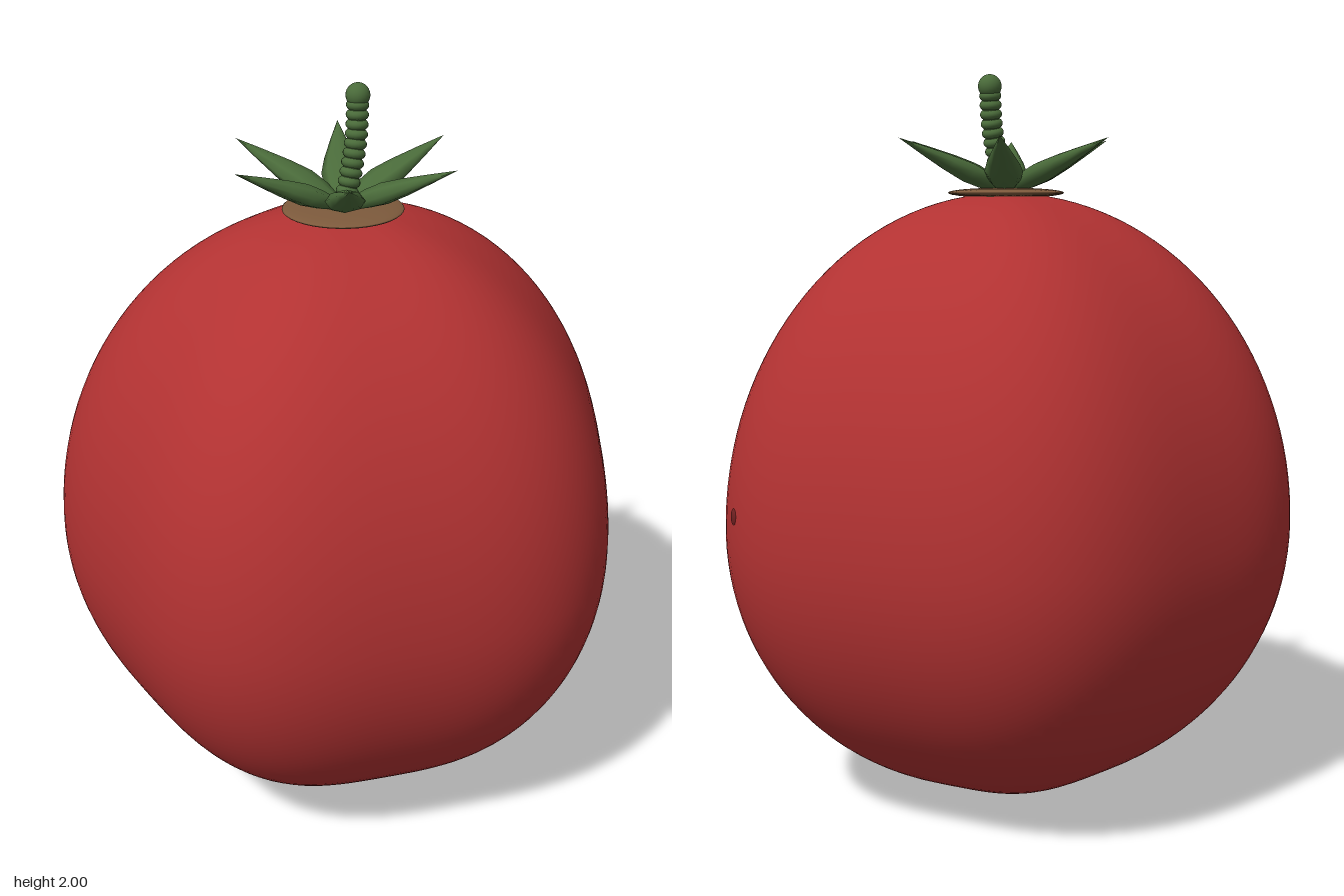
import * as THREE from 'three';
import { mergeVertices } from 'three/addons/utils/BufferGeometryUtils.js';

const AXIS_X = -0.03; // fruit axis, so that the lobed body is centred

function material(name, color) {
  const m = new THREE.MeshStandardMaterial({ color });
  m.name = name;
  return m;
}

function addMesh(parent, name, geometry, mat, x = 0, y = 0, z = 0) {
  const mesh = new THREE.Mesh(geometry, mat);
  mesh.name = name;
  mesh.position.set(x, y, z);
  parent.add(mesh);
  return mesh;
}

// Egg-shaped lathe with five soft lobes
function bodyGeometry() {
  const points = [];
  const steps = 64;
  for (let i = 0; i <= steps; i++) {
    const a = -Math.PI / 2 + (Math.PI * i) / steps;
    const half = a < 0 ? 0.77 : 0.905;
    points.push(new THREE.Vector2(0.7725 * Math.cos(a), 0.78 + half * Math.sin(a)));
  }
  let geo = new THREE.LatheGeometry(points, 120);
  const pos = geo.attributes.position;
  for (let i = 0; i < pos.count; i++) {
    const x = pos.getX(i), z = pos.getZ(i);
    const k = 1 + 0.036 * Math.cos(5 * Math.atan2(z, x));
    pos.setX(i, x * k);
    pos.setZ(i, z * k * 0.98);
  }
  geo.deleteAttribute('uv');
  geo.deleteAttribute('normal');
  geo = mergeVertices(geo, 1e-5);
  geo.computeVertexNormals();
  return geo;
}

// Pointed sepal lying along +x, with a ridged, flattened section
function sepalGeometry() {
  const profile = [[0, 0], [0.025, 0.02], [0.045, 0.08], [0.052, 0.13], [0.042, 0.19], [0.022, 0.27], [0, 0.349]]
    .map(([r, d]) => new THREE.Vector2(r, d));
  const geo = new THREE.LatheGeometry(profile, 8);
  geo.rotateZ(-Math.PI / 2);
  geo.scale(1, 0.55, 1);
  geo.rotateZ(Math.atan2(0.14, 0.32));
  return geo;
}

export function createModel() {
  const red = material('fruit red', 0xb23232);
  const green = material('leaf green', 0x4a6b3a);
  const tan = material('scar tan', 0x7d5a3c);
  const darkRed = material('blemish dark red', 0x6e2020);

  const model = new THREE.Group();
  model.name = 'fruit';
  const fruit = new THREE.Group();
  fruit.name = 'fruitOnAxis';
  fruit.position.x = AXIS_X;
  model.add(fruit);

  addMesh(fruit, 'body', bodyGeometry(), red);

  // Woody ring under the sepals and scar beneath the fruit
  const disc = new THREE.SphereGeometry(1, 40, 16);
  addMesh(fruit, 'collar', disc, tan, 0, 1.685, 0).scale.set(0.16, 0.014, 0.16);
  addMesh(fruit, 'blossomScar', disc, tan, 0, 0.012, 0).scale.set(0.07, 0.012, 0.07);

  // Small mark on the side lobe
  addMesh(fruit, 'blemish', disc, darkRed, 0.795, 0.85, 0).scale.set(0.008, 0.024, 0.018);

  // Six sepals in a star
  const calyx = new THREE.Group();
  calyx.name = 'calyx';
  calyx.position.y = 1.69;
  fruit.add(calyx);
  const sepal = sepalGeometry();
  for (let i = 0; i < 6; i++) {
    addMesh(calyx, 'sepal', sepal, green).rotation.y = (i * Math.PI) / 3;
  }

  // Curved stem with ringed swellings and a rounded tip
  const path = new THREE.CatmullRomCurve3([
    new THREE.Vector3(0, 1.68, 0),
    new THREE.Vector3(0.025, 1.76, -0.006),
    new THREE.Vector3(0.05, 1.86, -0.015),
    new THREE.Vector3(0.062, 1.968, -0.025),
  ]);
  const stem = new THREE.Group();
  stem.name = 'stem';
  fruit.add(stem);
  addMesh(stem, 'stemCore', new THREE.TubeGeometry(path, 24, 0.023, 14), green);
  const bead = new THREE.SphereGeometry(1, 20, 14);
  const rings = 12;
  for (let i = 0; i < rings; i++) {
    const t = i / rings;
    const p = path.getPointAt(t);
    const ring = addMesh(stem, 'stemRing', bead, green, p.x, p.y, p.z);
    ring.quaternion.setFromUnitVectors(new THREE.Vector3(0, 1, 0), path.getTangentAt(t));
    ring.scale.set(0.03, 0.018, 0.03);
  }
  const tip = path.getPointAt(1);
  addMesh(stem, 'stemTip', bead, green, tip.x, tip.y, tip.z).scale.setScalar(0.032);

  return model;
}
